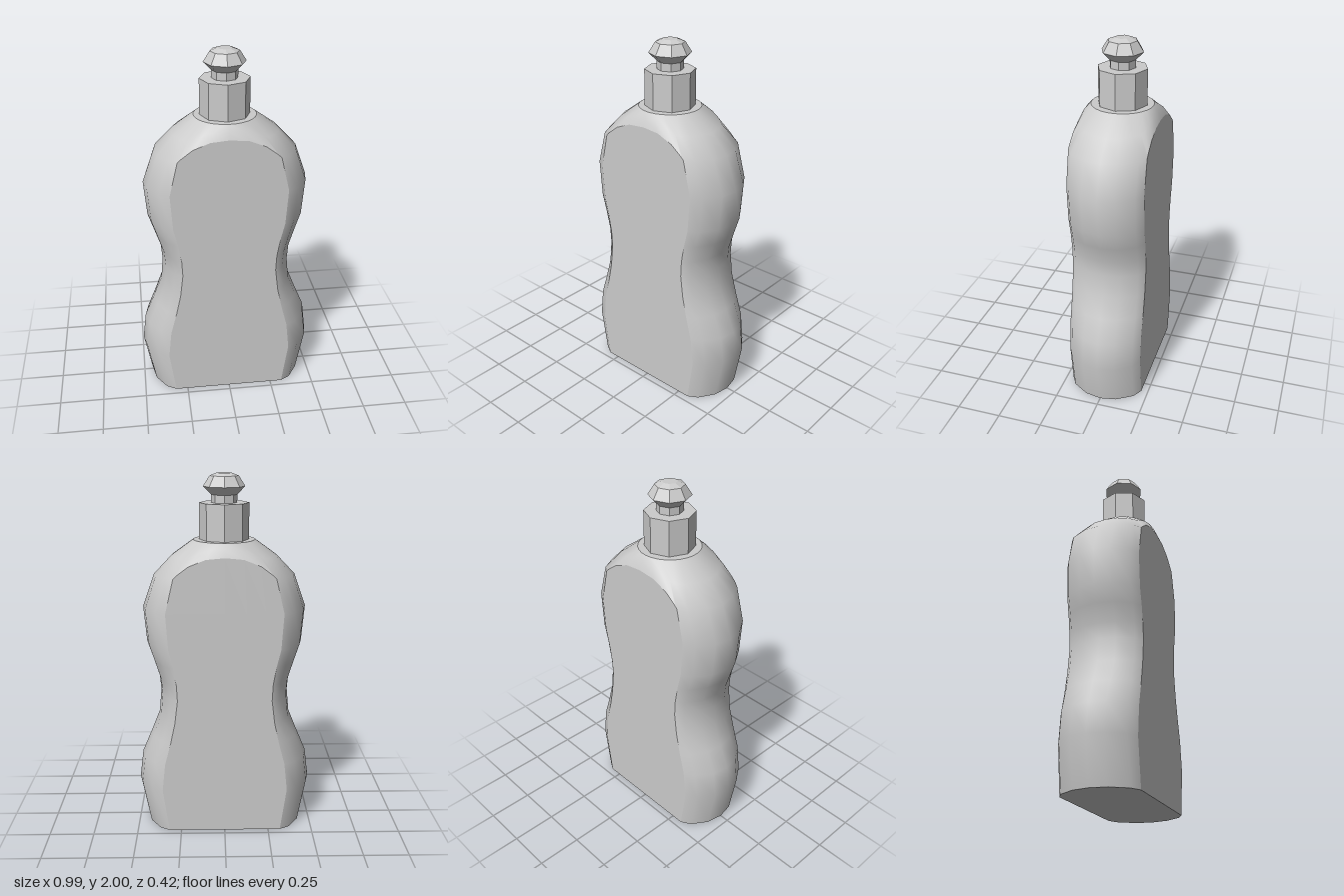
import * as THREE from 'three';

const DEPTH = 0.211, NECK_R = 0.168, NECK_Y = 1.65;
const Q = 7, N = Q * 4; // segments per quarter and per loop

// Body rows: height, half width at the rounded end, half width of the flat panel
const ROWS = [
  [0, 0.447, 0.318], [0.25, 0.495, 0.353], [0.41, 0.475, 0.336], [0.54, 0.42, 0.302],
  [0.66, 0.372, 0.276], [0.79, 0.36, 0.26], [0.88, 0.367, 0.264], [0.98, 0.4, 0.28],
  [1.08, 0.433, 0.304], [1.28, 0.45, 0.317],
];
// Quarter section: rounded end points (outward share, depth share), then panel fractions
const END = [[1, 0], [0.865, 0.43], [0.42, 0.85], [0, 1]];
const PANEL = [0.93, 0.7, 0.37, 0];

function quarter(w, p) {
  return [
    ...END.map(([u, v]) => [p + u * (w - p), v * DEPTH]),
    ...PANEL.map((f) => [f * p, DEPTH]),
  ];
}

// Mirrors a quarter of [x, y, z] points into a full loop running from +x to +z
function mirrorLoop(pts) {
  return Array.from({ length: N }, (_, i) => {
    const s = Math.floor(i / Q), j = i % Q;
    const [x, y, z] = pts[s % 2 ? Q - j : j];
    return [s === 0 || s === 3 ? x : -x, y, s < 2 ? z : -z];
  });
}

function makeLoops() {
  const quarters = ROWS.map(([y, w, p]) => quarter(w, p).map(([x, z]) => [x, y, z]));
  // Arched top edge of the panel
  const arch = quarter(0.386, 0.272).map(([x, z], i) => {
    const f = Math.min(1, x / 0.272);
    return [x, i < 3 ? 1.46 + i * 0.003 : 1.58 - 0.11 * Math.pow(f, 2.5), z];
  });
  // Round neck ring, with a slightly bulged row between it and the arch
  const ring = arch.map((_, i) => {
    const a = (i / Q) * Math.PI / 2;
    return [NECK_R * Math.cos(a), NECK_Y, NECK_R * Math.sin(a)];
  });
  const shoulder = arch.map((a, i) => {
    const m = a.map((v, k) => (v + ring[i][k]) / 2);
    return [m[0] * 1.04, m[1] + 0.008, m[2] * 1.02];
  });
  return [...quarters, arch, shoulder, ring].map(mirrorLoop);
}

function geometry(points, index, flat) {
  let g = new THREE.BufferGeometry();
  g.setAttribute('position', new THREE.Float32BufferAttribute(points.flat(), 3));
  g.setIndex(index);
  if (flat) g = g.toNonIndexed();
  g.computeVertexNormals();
  return g;
}

export function createModel() {
  const model = new THREE.Group();
  const smooth = new THREE.MeshStandardMaterial({ color: 0xcccccc });
  const faceted = new THREE.MeshStandardMaterial({ color: 0xcccccc, flatShading: true });
  const add = (name, geo, mat, y = 0) => {
    const mesh = new THREE.Mesh(geo, mat);
    mesh.name = name;
    mesh.position.y = y;
    model.add(mesh);
  };

  // Body: smooth rounded ends and shoulder, with flat front and back panels
  const loops = makeLoops();
  const points = loops.flat();
  const sides = [], front = [], back = [];
  for (let r = 0; r < loops.length - 1; r++) {
    for (let i = 0; i < N; i++) {
      const n = (i + 1) % N;
      const a = r * N + i, b = r * N + n, c = a + N, d = b + N;
      const half = i % (N / 2);
      const onPanel = r < ROWS.length && half >= 3 && half < N / 2 - 3;
      const target = !onPanel ? sides : i < N / 2 ? front : back;
      target.push(a, c, d, a, d, b);
    }
  }
  add('bodySides', geometry(points, sides, false), smooth);
  add('frontPanel', geometry(points, front, true), smooth);
  add('backPanel', geometry(points, back, true), smooth);

  // Closed base and neck ledge
  const fan = (loop, up) => {
    const idx = [];
    for (let i = 0; i < N; i++) {
      const n = (i + 1) % N;
      idx.push(N, ...(up ? [n, i] : [i, n]));
    }
    return geometry([...loop, [0, loop[0][1], 0]], idx, true);
  };
  add('base', fan(loops[0], false), smooth);
  add('neckLedge', fan(loops[loops.length - 1], true), smooth);

  // Octagonal cap collar
  add('capCollar', new THREE.CylinderGeometry(0.135, 0.135, 0.195, 8), faceted, 1.7475);

  // Pull-up nozzle
  const profile = [[0.07, 1.84], [0.07, 1.887], [0.113, 1.93], [0.078, 1.985], [0.04, 2], [0, 2]]
    .map(([x, y]) => new THREE.Vector2(x, y));
  add('nozzle', new THREE.LatheGeometry(profile, 8), faceted);

  return model;
}
